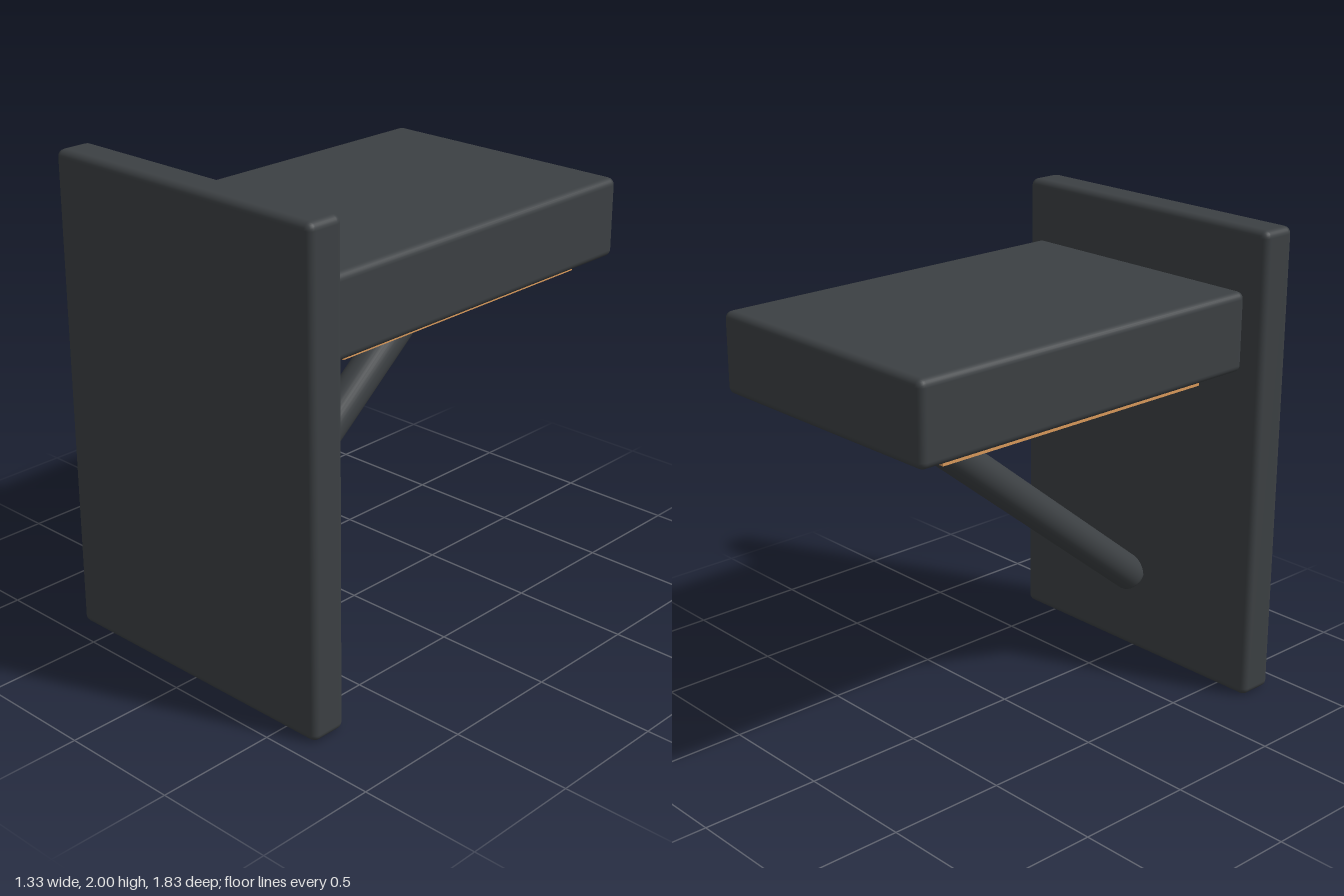
import * as THREE from 'three';
import { RoundedBoxGeometry } from 'three/addons/geometries/RoundedBoxGeometry.js';

const dark = new THREE.MeshStandardMaterial({ color: 0x3c4043 });
const amber = new THREE.MeshStandardMaterial({ color: 0xd99a5b });

function add(group, name, geometry, material, y, z) {
  const mesh = new THREE.Mesh(geometry, material);
  mesh.name = name;
  mesh.position.set(0, y, z);
  group.add(mesh);
  return mesh;
}

// Round bar along y with softened end rims
function barGeometry(radius, length, bevel) {
  const h = length / 2;
  const rim = [];
  for (let i = 0; i <= 4; i++) {
    const a = (i / 4) * Math.PI / 2;
    rim.push(new THREE.Vector2(radius - bevel + bevel * Math.sin(a), -h + bevel - bevel * Math.cos(a)));
  }
  const top = rim.map((p) => new THREE.Vector2(p.x, -p.y)).reverse();
  const profile = [new THREE.Vector2(0, -h), ...rim, ...top, new THREE.Vector2(0, h)];
  return new THREE.LatheGeometry(profile, 32);
}

export function createModel() {
  const group = new THREE.Group();
  group.name = 'wallLamp';

  // Upright plate and the arm that projects behind it
  add(group, 'mountingPlate', new RoundedBoxGeometry(1.33, 2, 0.16, 3, 0.03), dark, 1, 0.835);
  add(group, 'lampHousing', new RoundedBoxGeometry(1.16, 0.33, 1.665, 3, 0.03), dark, 1.585, -0.0825);

  // Thin coloured panel under the housing
  add(group, 'lightPanel', new THREE.BoxGeometry(1, 0.06, 1.335), amber, 1.41, -0.0825);

  // Diagonal brace from the plate to the underside
  const low = new THREE.Vector3(0, 0.345, 0.757);
  const high = new THREE.Vector3(0, 1.408, -0.572);
  const along = high.clone().sub(low);
  const brace = add(group, 'brace', barGeometry(0.075, along.length(), 0.025), dark, 0, 0);
  brace.position.copy(low).lerp(high, 0.5);
  brace.quaternion.setFromUnitVectors(new THREE.Vector3(0, 1, 0), along.normalize());

  return group;
}
